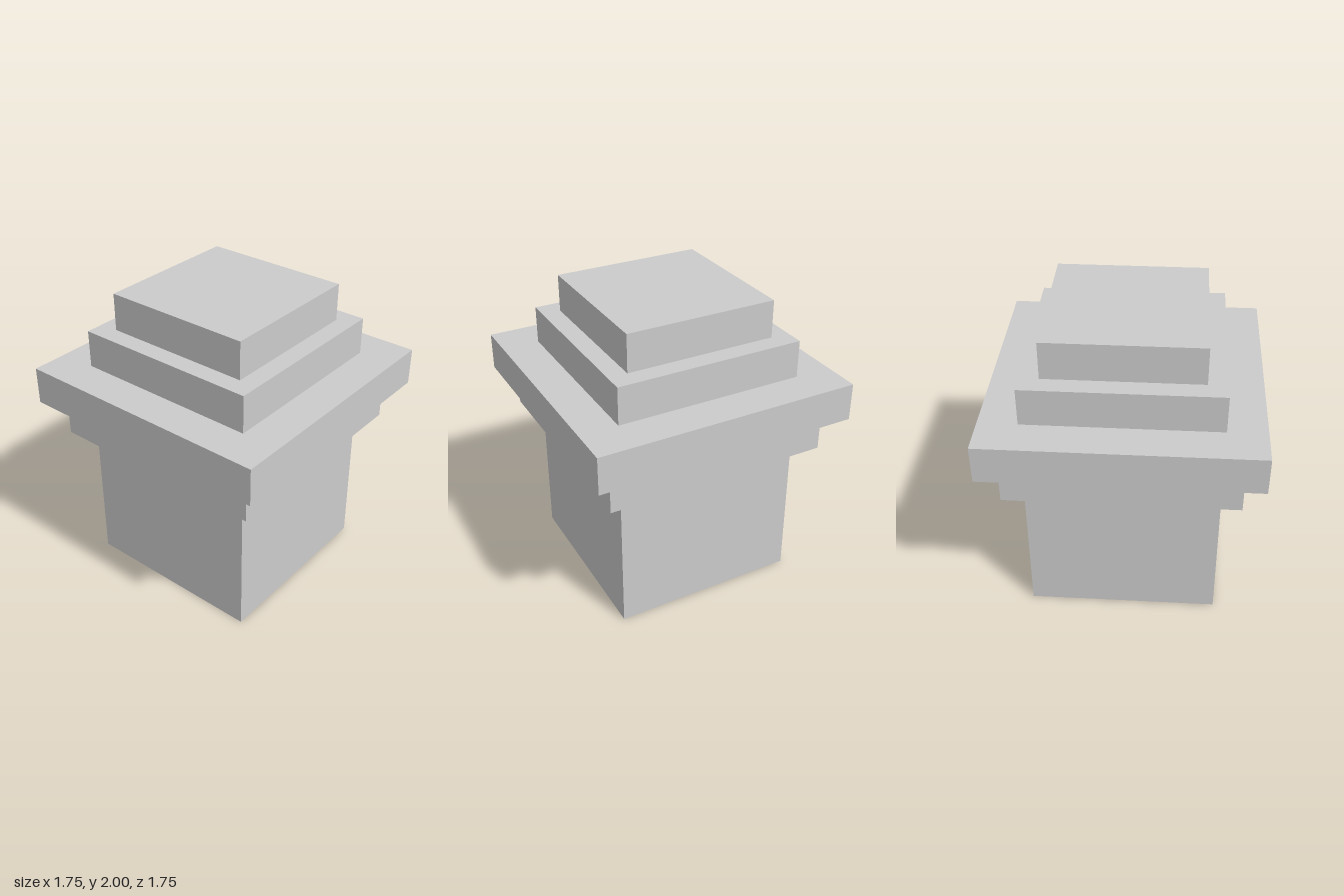
import * as THREE from 'three';

// Square tiers stacked from the ground up: name, width, height
const TIERS = [
  ['shaft', 1.25, 1],
  ['lowerCornice', 1.5, 0.25],
  ['upperCornice', 1.75, 0.25],
  ['lowerCapStep', 1.25, 0.25],
  ['upperCapStep', 1, 0.25],
];

export function createModel() {
  const model = new THREE.Group();
  model.name = 'steppedPillar';
  const material = new THREE.MeshStandardMaterial({ color: 0xcccccc, flatShading: true });

  let base = 0;
  for (const [name, width, height] of TIERS) {
    const tier = new THREE.Mesh(new THREE.BoxGeometry(width, height, width), material);
    tier.name = name;
    tier.position.y = base + height / 2;
    model.add(tier);
    base += height;
  }
  return model;
}
